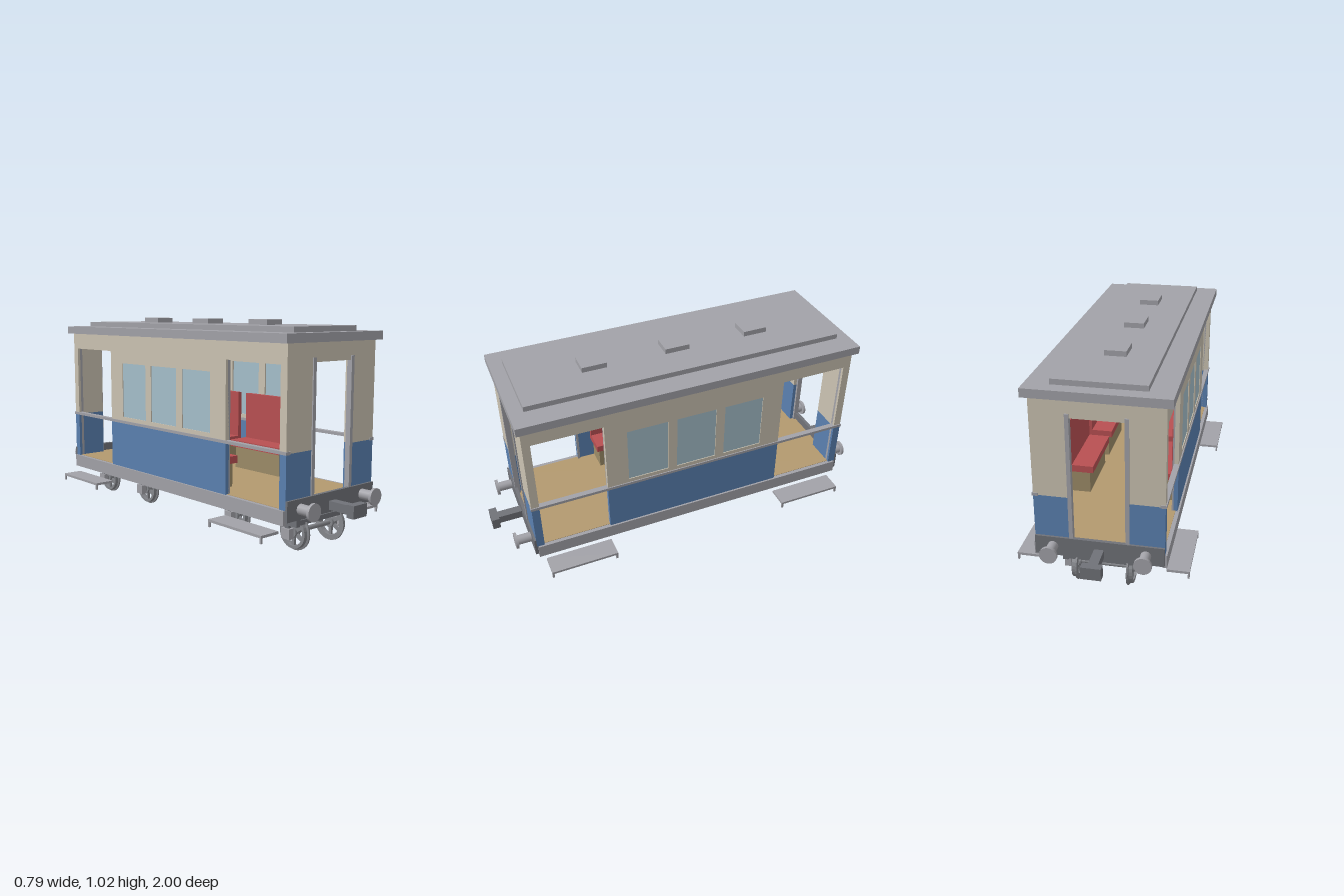
import * as THREE from 'three';

const mat = (name, color) => {
  const m = new THREE.MeshStandardMaterial({ color });
  m.name = name;
  return m;
};

export function createModel() {
  const grey = mat('lightGrey', 0xa2a2a8);
  const dark = mat('darkGrey', 0x707278);
  const steel = mat('wheelSteel', 0x85878c);
  const cream = mat('cream', 0xcbc3b2);
  const blue = mat('blue', 0x5a80b0);
  const glass = mat('windowBlue', 0xa5bfcb);
  const red = mat('seatRed', 0xb85052);
  const wood = mat('floorWood', 0xb3996f);
  const baseWood = mat('benchWood', 0x9c8b67);

  const model = new THREE.Group();
  model.name = 'tramCar';

  const add = (parent, name, geo, material) => {
    const mesh = new THREE.Mesh(geo, material);
    mesh.name = name;
    parent.add(mesh);
    return mesh;
  };
  // Box given by its minimum and maximum on each axis
  const box = (parent, name, material, x0, x1, y0, y1, z0, z1) => {
    const geo = new THREE.BoxGeometry(x1 - x0, y1 - y0, z1 - z0);
    geo.translate((x0 + x1) / 2, (y0 + y1) / 2, (z0 + z1) / 2);
    return add(parent, name, geo, material);
  };
  // Box mirrored to both sides in x
  const pair = (parent, name, material, x0, x1, ...rest) => {
    box(parent, name + 'Left', material, x0, x1, ...rest);
    box(parent, name + 'Right', material, -x1, -x0, ...rest);
  };

  // Roof with raised deck and three vents
  box(model, 'roof', grey, -0.317, 0.317, 0.93, 0.97, -0.855, 0.855);
  box(model, 'roofDeck', grey, -0.207, 0.207, 0.97, 0.995, -0.79, 0.79);
  for (const z of [-0.415, 0, 0.415])
    box(model, 'roofVent', grey, -0.05, 0.05, 0.995, 1.02, z - 0.061, z + 0.061);

  // Underframe and floor
  box(model, 'underframe', dark, -0.28, 0.28, 0.172, 0.22, -0.83, 0.83);
  box(model, 'floor', wood, -0.28, 0.28, 0.22, 0.23, -0.83, 0.83);
  pair(model, 'sill', grey, 0.28, 0.299, 0.163, 0.228, -0.83, 0.83);

  // Side wall, upper middle part with three window holes
  const wallShape = new THREE.Shape();
  const rect = (path, z0, z1, y0, y1) => {
    path.moveTo(z0, y0);
    path.lineTo(z1, y0);
    path.lineTo(z1, y1);
    path.lineTo(z0, y1);
    path.closePath();
    return path;
  };
  rect(wallShape, -0.46, 0.46, 0.47, 0.845);
  const windows = [-0.25, 0, 0.25];
  for (const z of windows)
    wallShape.holes.push(rect(new THREE.Path(), z - 0.102, z + 0.102, 0.5, 0.785));
  const wallGeo = new THREE.ExtrudeGeometry(wallShape, { depth: 0.02, bevelEnabled: false });
  wallGeo.rotateY(Math.PI / 2);

  for (const s of [1, -1]) {
    const side = new THREE.Group();
    side.name = s > 0 ? 'leftSide' : 'rightSide';
    side.rotation.y = s > 0 ? 0 : Math.PI;
    model.add(side);

    add(side, 'windowWall', wallGeo, cream).position.x = 0.27;
    box(side, 'doorHeader', cream, 0.27, 0.29, 0.845, 0.93, -0.797, 0.797);
    box(side, 'lowerWall', blue, 0.27, 0.29, 0.228, 0.47, -0.46, 0.46);
    for (const z of windows)
      box(side, 'window', glass, 0.278, 0.286, 0.5, 0.785, z - 0.102, z + 0.102);
    box(side, 'handrail', grey, 0.268, 0.295, 0.466, 0.48, -0.838, 0.838);

    for (const e of [1, -1]) {
      // Slim posts on both edges of the side doorway
      for (const z of [0.454, 0.803])
        box(side, 'sideDoorPost', grey, 0.262, 0.276, 0.23, 0.86, e * z - 0.006, e * z + 0.006);

      // Footboard with two little legs
      box(side, 'footboard', grey, 0.292, 0.395, 0.122, 0.134, e * 0.63 - 0.168, e * 0.63 + 0.168);
      for (const z of [0.467, 0.793])
        box(side, 'footboardLeg', grey, 0.387, 0.395, 0.098, 0.122, e * z - 0.005, e * z + 0.005);

      // Lengthwise bench against the wall
      const bench = new THREE.Group();
      bench.name = 'bench';
      bench.position.z = e * 0.205;
      side.add(bench);
      box(bench, 'benchBase', baseWood, 0.16, 0.27, 0.23, 0.345, -0.16, 0.16);
      box(bench, 'benchSeat', red, 0.14, 0.27, 0.345, 0.38, -0.175, 0.175);
      box(bench, 'benchBack', red, 0.247, 0.269, 0.38, 0.62, -0.175, 0.175);
    }
  }

  // Spoked wheel parts, axle along x
  const rimProfile = [
    [0.06, -0.013], [0.085, -0.013], [0.085, -0.006], [0.076, -0.003],
    [0.074, 0.013], [0.06, 0.013], [0.06, -0.013],
  ].map(([r, y]) => new THREE.Vector2(r, y));
  const rimGeo = new THREE.LatheGeometry(rimProfile, 28).toNonIndexed();
  rimGeo.computeVertexNormals();
  rimGeo.rotateZ(-Math.PI / 2);
  const hubGeo = new THREE.CylinderGeometry(0.024, 0.024, 0.032, 16).rotateZ(Math.PI / 2);
  const axleGeo = new THREE.CylinderGeometry(0.011, 0.011, 0.25, 12).rotateZ(Math.PI / 2);
  const bumperShaft = new THREE.CylinderGeometry(0.024, 0.024, 0.075, 20).rotateX(Math.PI / 2);
  const bumperHead = new THREE.CylinderGeometry(0.04, 0.04, 0.013, 28).rotateX(Math.PI / 2);

  for (const e of [1, -1]) {
    const end = new THREE.Group();
    end.name = e > 0 ? 'frontEnd' : 'backEnd';
    end.rotation.y = e > 0 ? 0 : Math.PI;
    model.add(end);

    // End wall with open doorway
    pair(end, 'endLowerWall', blue, 0.13, 0.29, 0.228, 0.47, 0.797, 0.835);
    pair(end, 'endUpperWall', cream, 0.13, 0.29, 0.47, 0.93, 0.797, 0.835);
    box(end, 'endDoorHeader', cream, -0.13, 0.13, 0.845, 0.93, 0.797, 0.835);
    pair(end, 'endDoorPost', grey, 0.117, 0.135, 0.23, 0.865, 0.815, 0.841);

    // End beam, round bumpers and coupler
    box(end, 'endBeam', dark, -0.29, 0.29, 0.178, 0.27, 0.828, 0.845);
    for (const x of [-0.208, 0.208]) {
      add(end, 'bumperShaft', bumperShaft, grey).position.set(x, 0.225, 0.88);
      add(end, 'bumperHead', bumperHead, grey).position.set(x, 0.225, 0.919);
    }
    box(end, 'couplerBar', dark, -0.022, 0.022, 0.19, 0.23, 0.84, 0.965);
    box(end, 'couplerHead', dark, -0.045, 0.045, 0.182, 0.24, 0.963, 1);

    // Bogie frame
    const bogie = new THREE.Group();
    bogie.name = 'bogie';
    bogie.position.z = 0.5475;
    end.add(bogie);
    pair(bogie, 'bogieSideBeam', dark, 0.155, 0.18, 0.126, 0.162, -0.25, 0.25);
    box(bogie, 'bogieBolster', dark, -0.155, 0.155, 0.135, 0.172, -0.05, 0.05);
    for (const z of [-0.24, 0.24])
      box(bogie, 'bogieCrossBeam', dark, -0.155, 0.155, 0.132, 0.155, z - 0.01, z + 0.01);

    // Axles with two spoked wheels and axle boxes
    for (const z of [-0.1875, 0.1875]) {
      const wheelset = new THREE.Group();
      wheelset.name = 'wheelset';
      wheelset.position.set(0, 0.085, z);
      bogie.add(wheelset);
      add(wheelset, 'axle', axleGeo, steel);
      pair(wheelset, 'axleBox', grey, 0.155, 0.184, -0.022, 0.026, -0.024, 0.024);
      pair(wheelset, 'axleBoxHanger', dark, 0.16, 0.176, 0.026, 0.045, -0.012, 0.012);
      pair(wheelset, 'axleEnd', steel, 0.124, 0.157, -0.01, 0.01, -0.01, 0.01);
      for (const s of [1, -1]) {
        const wheel = new THREE.Group();
        wheel.name = s > 0 ? 'leftWheel' : 'rightWheel';
        wheel.position.x = s * 0.126;
        wheel.rotation.y = s > 0 ? 0 : Math.PI;
        wheelset.add(wheel);
        add(wheel, 'rim', rimGeo, steel);
        add(wheel, 'hub', hubGeo, steel);
        for (let i = 0; i < 3; i++) {
          const spoke = box(wheel, 'spoke', steel, -0.006, 0.006, -0.064, 0.064, -0.008, 0.008);
          spoke.rotation.x = (i * Math.PI) / 3;
        }
      }
    }
  }
  return model;
}
